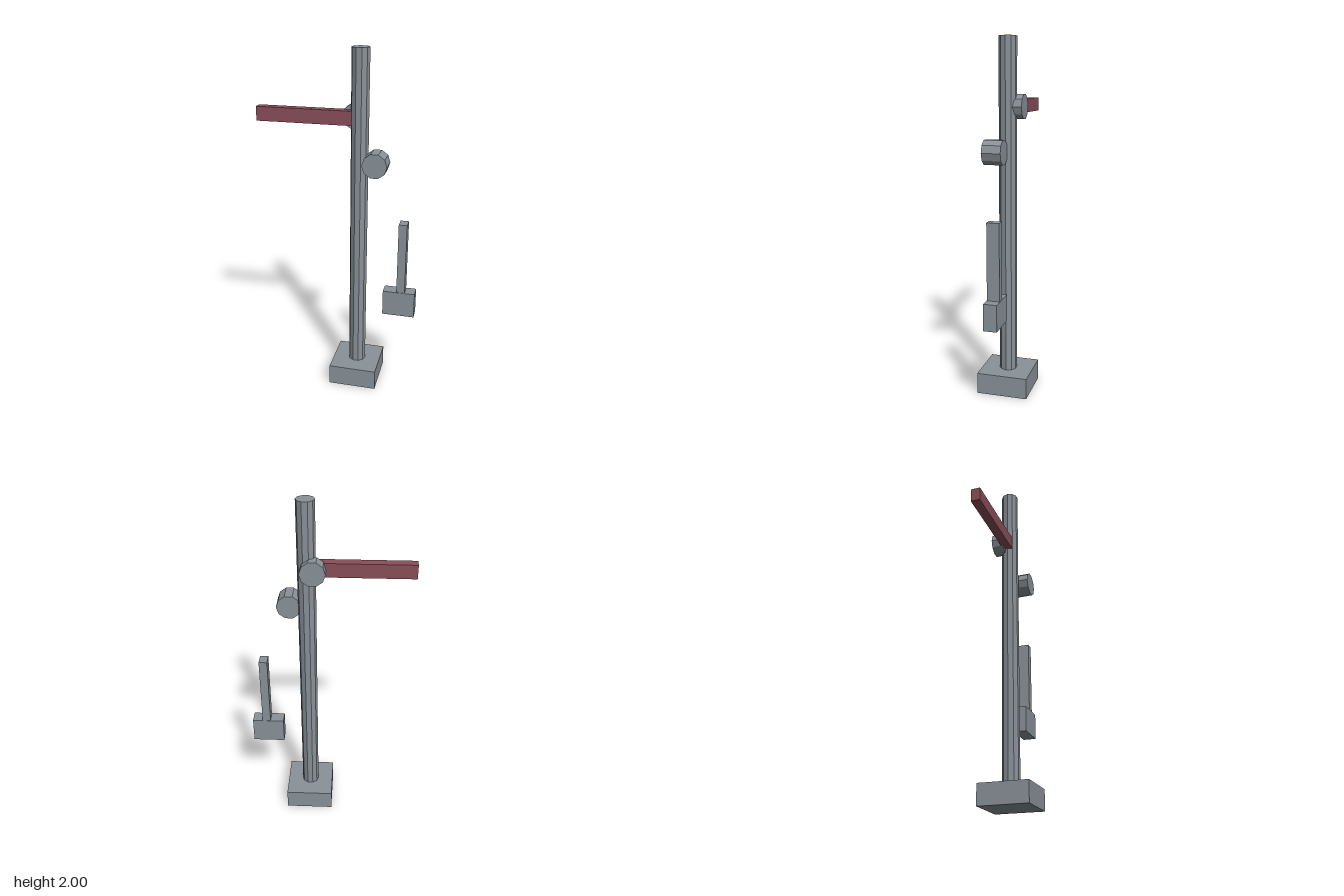
import * as THREE from 'three';

const grey = new THREE.MeshStandardMaterial({ color: 0x8a9299, flatShading: true });
grey.name = 'steel grey';
const red = new THREE.MeshStandardMaterial({ color: 0x8a4f5a, flatShading: true });
red.name = 'dull red';

export function createModel() {
  const model = new THREE.Group();
  model.name = 'railwaySignal';

  const add = (name, geometry, material, x, y, z) => {
    const mesh = new THREE.Mesh(geometry, material);
    mesh.name = name;
    mesh.position.set(x, y, z);
    model.add(mesh);
    return mesh;
  };
  const box = (name, material, size, pos) =>
    add(name, new THREE.BoxGeometry(...size), material, ...pos);
  // Ten-sided cylinder with a corner pointing along +x
  const cylinder = (r, h) =>
    new THREE.CylinderGeometry(r, r, h, 10, 1, false, Math.PI / 2);

  // Footing and post
  box('base', grey, [0.28, 0.12, 0.29], [0.12, 0.06, 0]);
  add('post', cylinder(0.05, 1.88), grey, 0.12, 1.06, 0);

  // Signal arm, running into the post
  box('signalArm', red, [0.583, 0.08, 0.054], [-0.172, 1.625, 0]);

  // Pivot behind the arm and lamp in front of the post
  add('armPivot', cylinder(0.07, 0.07).rotateX(Math.PI / 2), grey, 0.085, 1.627, -0.05);
  add('lamp', cylinder(0.07, 0.107).rotateX(Math.PI / 2), grey, 0.221, 1.388, 0.0465);

  // Hanging counterweight and its rod
  box('counterweight', grey, [0.186, 0.15, 0.076], [0.37, 0.54, 0]);
  box('counterweightRod', grey, [0.048, 0.43, 0.07], [0.38, 0.825, 0]);

  return model;
}
